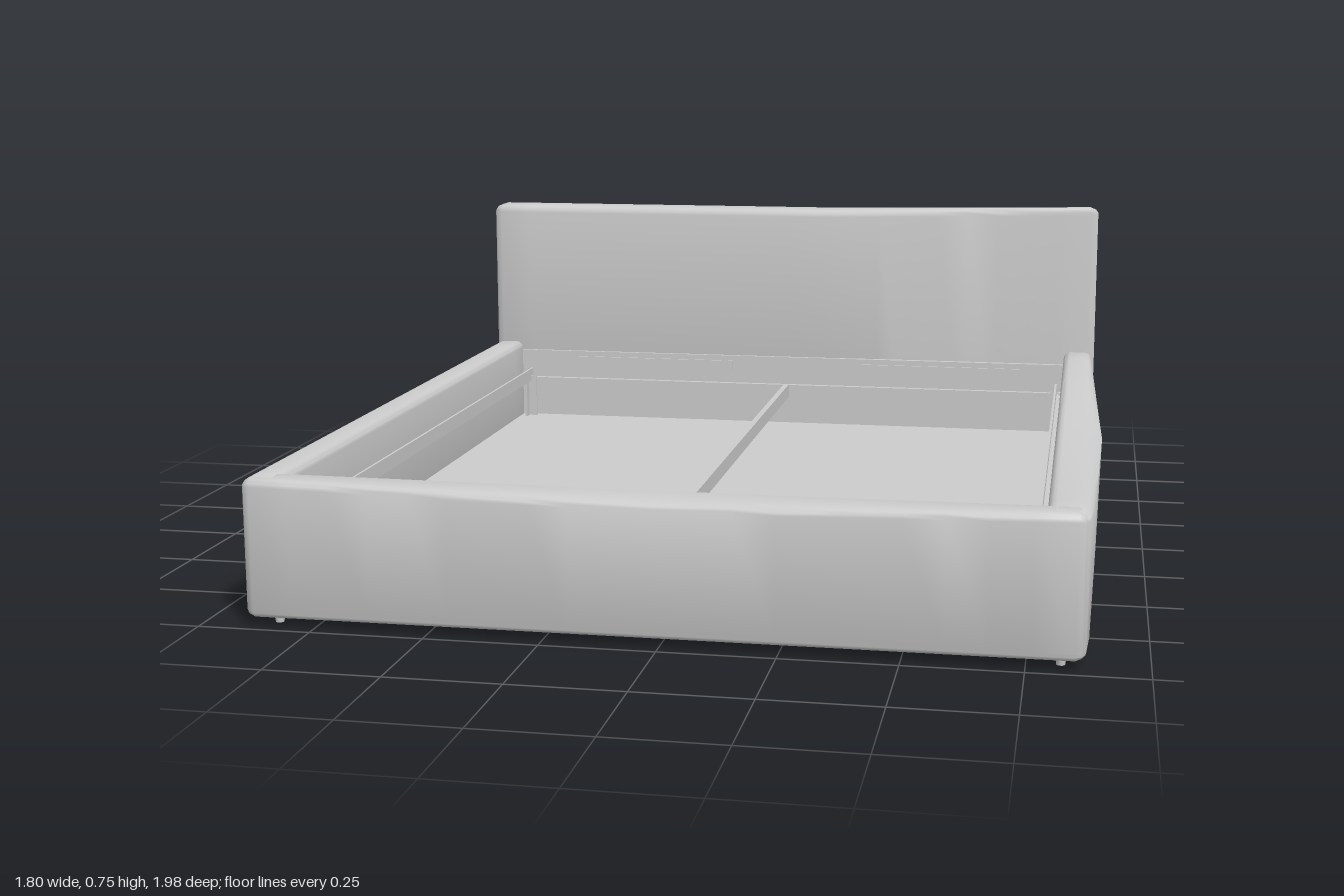
import * as THREE from 'three';
import { toCreasedNormals } from 'three/addons/utils/BufferGeometryUtils.js';

const grey = new THREE.MeshStandardMaterial({ color: 0xcccccc, side: THREE.DoubleSide });

// Rounded rectangle outline, counter-clockwise
function roundedRect(u0, u1, v0, v1, r) {
  const pts = [], n = 4;
  const corners = [[u1 - r, v0 + r, -1], [u1 - r, v1 - r, 0], [u0 + r, v1 - r, 1], [u0 + r, v0 + r, 2]];
  for (const [u, v, q] of corners) {
    for (let i = 0; i <= n; i++) {
      const a = (q + i / n) * Math.PI / 2;
      pts.push([u + r * Math.cos(a), v + r * Math.sin(a)]);
    }
  }
  return pts;
}

// Soft padded bar along z from t0 to t1; warp(u, v, t) bends its outline
function paddedBar(u0, u1, v0, v1, t0, t1, r, warp = (u, v) => [u, v]) {
  const stations = [[t0, r * 0.7], [t0 + r * 0.3, r * 0.3], [t0 + r, 0]];
  const steps = 20;
  for (let i = 1; i < steps; i++) stations.push([t0 + r + (t1 - t0 - 2 * r) * i / steps, 0]);
  stations.push([t1 - r, 0], [t1 - r * 0.3, r * 0.3], [t1, r * 0.7]);
  const pos = [], idx = [];
  let n = 0;
  for (const [t, inset] of stations) {
    const ring = roundedRect(u0 + inset, u1 - inset, v0 + inset, v1 - inset, r - inset * 0.9);
    n = ring.length;
    for (const [u, v] of ring) pos.push(...warp(u, v, t), t);
  }
  const last = stations.length - 1;
  for (let i = 0; i < last; i++) {
    for (let j = 0; j < n; j++) {
      const k = (j + 1) % n;
      const a = i * n + j, b = i * n + k, c = a + n, d = b + n;
      idx.push(a, b, d, a, d, c);
    }
  }
  // End caps
  const e = last * n;
  for (let j = 1; j < n - 1; j++) idx.push(0, j + 1, j, e, e + j, e + j + 1);
  const geo = new THREE.BufferGeometry();
  geo.setAttribute('position', new THREE.Float32BufferAttribute(pos, 3));
  geo.setIndex(idx);
  return toCreasedNormals(geo, 0.7);
}

// Linear interpolation through [t, value] pairs
function ramp(t, keys) {
  if (t <= keys[0][0]) return keys[0][1];
  for (let i = 1; i < keys.length; i++) {
    const [a, va] = keys[i - 1], [b, vb] = keys[i];
    if (t <= b) return va + (vb - va) * (t - a) / (b - a);
  }
  return keys[keys.length - 1][1];
}

export function createModel() {
  const model = new THREE.Group();
  const add = (name, geo) => {
    const mesh = new THREE.Mesh(geo, grey);
    mesh.name = name;
    model.add(mesh);
    return mesh;
  };
  const box = (name, x0, x1, y0, y1, z0, z1) =>
    add(name, new THREE.BoxGeometry(x1 - x0, y1 - y0, z1 - z0)
      .translate((x0 + x1) / 2, (y0 + y1) / 2, (z0 + z1) / 2));

  // Headboard: thins towards its left end, most of all along the top
  add('headboard', paddedBar(0.895, 0.99, 0.008, 0.735, -0.905, 0.87, 0.022, (u, v, t) => {
    const taper = ramp(t, [[0.1, 0], [0.87, 1]]);
    const thin = 1 - taper * ramp(v, [[0, 0.3], [0.35, 0.5], [0.735, 0.88]]);
    return [0.947 + (u - 0.947) * thin, v + taper * ramp(v, [[0, -0.008], [0.735, 0.015]])];
  }).rotateY(Math.PI / 2));

  // Right side rail, slightly swollen at mid height
  add('rightSideRail', paddedBar(-0.898, -0.822, 0.02, 0.325, -0.9, 0.98, 0.018, (u, v) =>
    [u < -0.86 ? u - ramp(v, [[0.02, 0], [0.17, 0.007], [0.32, 0]]) : u, v]));

  // Left side rail, bowed outwards along its length
  add('leftSideRail', paddedBar(0.785, 0.862, 0.02, 0.325, -0.9, 0.98, 0.018, (u, v, t) => {
    const bow = ramp(t, [[-0.9, 0], [0.05, 0.048], [0.95, 0.022], [0.98, 0.004]]);
    const outer = THREE.MathUtils.clamp((u - 0.8) / 0.06, 0, 1);
    const swell = ramp(v, [[0.02, 0.5], [0.285, 1], [0.325, 0.4]]);
    const drop = ramp(t, [[-0.9, 0], [0.05, 0.03], [0.98, 0]]);
    const lift = ramp(t, [[-0.9, 0.015], [-0.2, 0]]);
    const top = ramp(v, [[0.2, 0], [0.325, 1]]);
    return [u + bow * outer * swell, v + top * (lift - drop * outer)];
  }));

  // Foot rail, its top sloping gently forward in the middle
  add('footRail', paddedBar(-0.987, -0.91, 0.02, 0.325, -0.898, 0.866, 0.018, (u, v, t) => {
    const slope = ramp(t, [[-0.88, 0], [0, 0.02], [0.85, 0]]);
    const outer = THREE.MathUtils.clamp((-0.91 - u) / 0.077, 0, 1);
    return [u, v - slope * outer * ramp(v, [[0.2, 0], [0.325, 1]])];
  }).rotateY(Math.PI / 2));

  // Head cross rail with two mounting plates
  box('headRail', -0.83, 0.8, 0.02, 0.3, -0.9, -0.885);
  for (const x of [-0.42, 0.42]) box('mountingPlate', x - 0.24, x + 0.24, 0.255, 0.285, -0.886, -0.88);

  // Storage floor, raised above the lower edge
  box('floorPanel', -0.825, 0.788, 0.09, 0.105, -0.89, 0.913);

  // Slat ledges around the inside
  for (const [x0, x1] of [[-0.825, -0.795], [0.765, 0.79]]) {
    box('sideLedge', x0, x1, 0.21, 0.22, -0.885, 0.91);
    const edge = x0 < 0 ? x1 : x0;
    box('sideLedgeLip', edge - 0.003, edge + 0.003, 0.21, 0.245, -0.885, 0.91);
  }
  box('headLedge', -0.82, 0.785, 0.21, 0.22, -0.886, -0.87);
  box('footLedge', -0.82, 0.785, 0.21, 0.22, 0.885, 0.912);

  // Centre beam and its hanger
  box('centreBeam', -0.025, -0.01, 0.185, 0.222, -0.875, 0.89);
  box('beamHanger', -0.05, 0.015, 0.175, 0.226, 0.87, 0.89);

  // Corner brackets and feet
  for (const x of [-0.79, 0.765]) {
    for (const z of [-0.865, 0.89]) {
      const sx = x < 0 ? 1 : -1, sz = z < 0 ? 1 : -1;
      box('cornerBracket', x - 0.014, x + 0.014, 0.105, 0.225, z - 0.003, z + 0.003);
      box('cornerBracket', x - 0.003 - sx * 0.012, x + 0.003 - sx * 0.012, 0.105, 0.225, z - 0.014 + sz * 0.012, z + 0.014 + sz * 0.012);
    }
  }
  for (const x of [-0.84, 0.82]) {
    for (const z of [-0.86, 0.94]) {
      add('foot', new THREE.CylinderGeometry(0.012, 0.009, 0.02, 16).translate(x, 0.012, z));
    }
  }
  return model;
}
